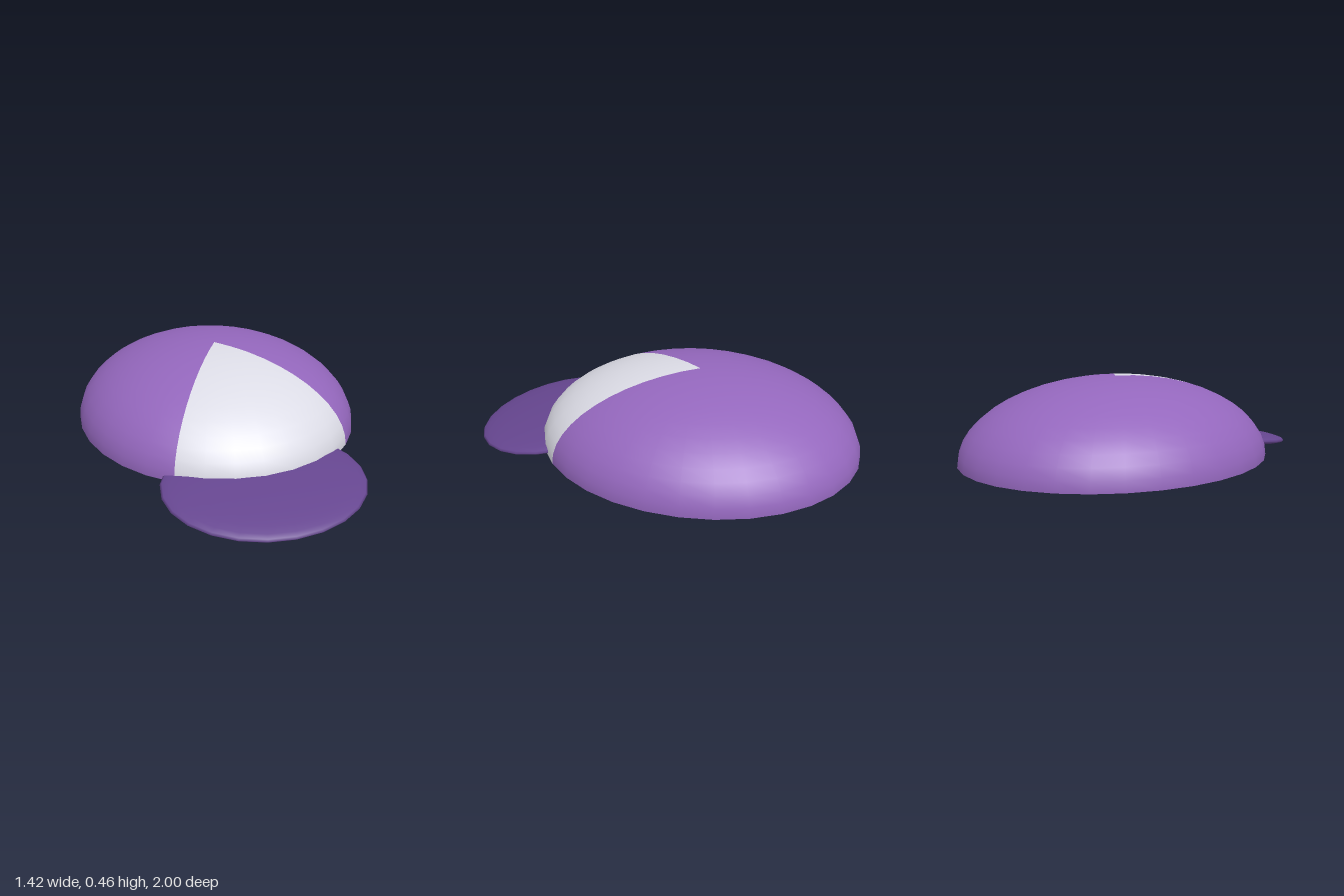
import * as THREE from 'three';

const STEP = Math.PI / 16; // one of 32 dome segments

export function createModel() {
  const purple = new THREE.MeshStandardMaterial({ color: 0x9467bd, side: THREE.DoubleSide });
  purple.name = 'crown purple';
  const pale = new THREE.MeshStandardMaterial({ color: 0xdcdce6, side: THREE.DoubleSide });
  pale.name = 'panel pale grey';
  const dark = new THREE.MeshStandardMaterial({ color: 0x664690 });
  dark.name = 'brim dark purple';

  const cap = new THREE.Group();
  cap.name = 'cap';

  // Open half-ellipsoid crown, split into wedges around its apex
  const addWedge = (name, material, start, count) => {
    const geometry = new THREE.SphereGeometry(1, count, 12, start * STEP, count * STEP, 0, Math.PI / 2);
    geometry.scale(0.712, 0.392, 0.81);
    const mesh = new THREE.Mesh(geometry, material);
    mesh.name = name;
    mesh.position.set(0, 0.075, -0.19);
    cap.add(mesh);
  };
  addWedge('frontPanel', pale, 5, 7);
  addWedge('crown', purple, 12, 25);

  // Flattened brim, tipped down towards the front
  const brimGeometry = new THREE.SphereGeometry(1, 24, 16);
  brimGeometry.scale(0.483, 0.045, 0.4);
  const brim = new THREE.Mesh(brimGeometry, dark);
  brim.name = 'brim';
  brim.position.set(0, 0.07, 0.6);
  brim.rotation.x = 0.126;
  cap.add(brim);

  return cap;
}
